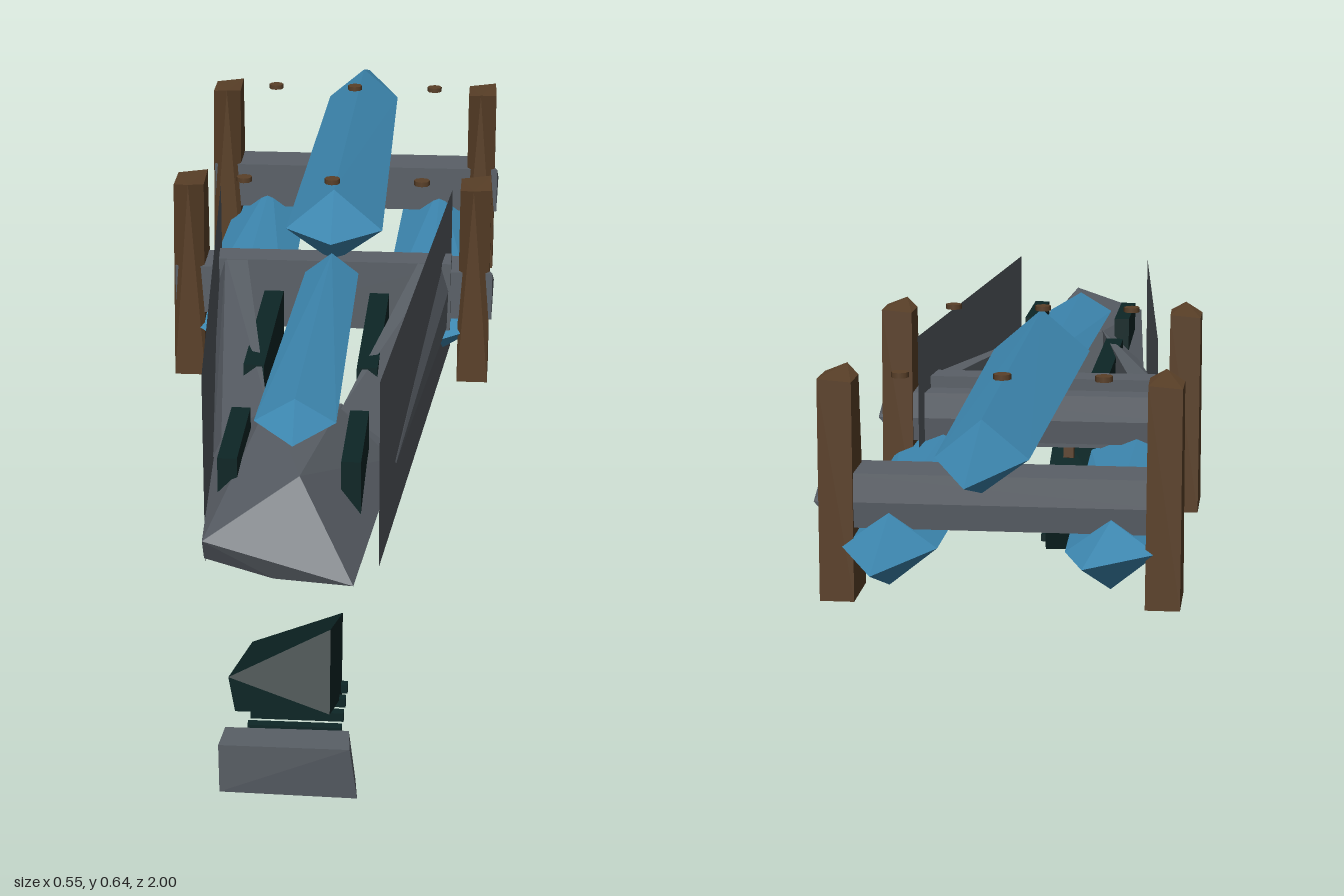
import * as THREE from 'three';
import { ConvexGeometry } from 'three/addons/geometries/ConvexGeometry.js';

const mat = (name, color) => {
  const m = new THREE.MeshStandardMaterial({ color });
  m.name = name;
  return m;
};

export function createModel() {
  const root = new THREE.Group();
  const blue = mat('crystal blue', 0x3f8bb5);
  const grey = mat('iron grey', 0x5a6067);
  const brown = mat('wood brown', 0x5a4028);
  const dark = mat('dark green', 0x0d2626);
  const plateGrey = mat('plate grey', 0x555a60);
  plateGrey.side = THREE.DoubleSide;

  const add = (name, geo, material, x = 0, y = 0, z = 0) => {
    const mesh = new THREE.Mesh(geo, material);
    mesh.name = name;
    mesh.position.set(x, y, z);
    root.add(mesh);
    return mesh;
  };
  // faceted solid around a few corner points
  const hull = (name, pts, material) =>
    add(name, new ConvexGeometry(pts.map((p) => new THREE.Vector3(...p))), material);
  const box = (name, x0, x1, y0, y1, z0, z1, material) =>
    add(name, new THREE.BoxGeometry(x1 - x0, y1 - y0, z1 - z0), material,
      (x0 + x1) / 2, (y0 + y1) / 2, (z0 + z1) / 2);

  // blades: diamond sections [centre x, centre y, z, half width, up, down] between two tips
  const blade = (name, tipA, sections, tipB) => {
    const pts = [tipA, tipB];
    for (const [x, y, z, w, up, down] of sections) {
      pts.push([x - w, y, z], [x + w, y, z], [x, y + up, z], [x, y - down, z]);
    }
    hull(name, pts, blue);
  };
  blade('upperBlade', [0, 0.565, -1],
    [[0, 0.562, -0.81, 0.067, 0.056, 0.05], [0, 0.56, 0, 0.082, 0.071, 0.058]], [0, 0.56, 0.08]);
  blade('frontBlade', [0, 0.5, -0.02],
    [[0, 0.5, 0.05, 0.045, 0.035, 0.03], [-0.005, 0.505, 0.7, 0.06, 0.036, 0.03]], [0, 0.51, 0.8]);
  blade('rightLowerBlade', [-0.135, 0.385, -0.745],
    [[-0.17, 0.385, -0.65, 0.068, 0.05, 0.055], [-0.168, 0.387, 0, 0.082, 0.035, 0.052]], [-0.2, 0.388, 0.07]);
  blade('leftLowerBlade', [0.162, 0.385, -0.81],
    [[0.16, 0.385, -0.65, 0.072, 0.052, 0.058], [0.162, 0.387, 0, 0.085, 0.035, 0.052]], [0.185, 0.388, 0.06]);

  // body: front wedge, two rails and a cross bar
  hull('frontWedge', [
    [-0.105, 0.455, 1], [0.1, 0.395, 1], [-0.01, 0.395, 0.985], [0.02, 0.515, 0.91],
    [-0.105, 0.42, 0.98], [-0.138, 0.4, 0.58], [0.138, 0.4, 0.58],
    [-0.055, 0.485, 0.58], [0.055, 0.485, 0.58],
  ], grey);
  for (const s of [-1, 1]) {
    const side = s < 0 ? 'right' : 'left';
    hull(side + 'Rail', [
      [s * 0.198, 0.4, 0], [s * 0.2, 0.47, 0], [s * 0.185, 0.515, 0.01], [s * 0.145, 0.515, 0.03],
      [s * 0.145, 0.4, 0.03], [s * 0.138, 0.4, 0.6], [s * 0.125, 0.43, 0.6],
      [s * 0.055, 0.485, 0.6], [s * 0.055, 0.4, 0.6],
    ], grey);

    // thin side plate, narrowing towards the front
    const plate = new THREE.BufferGeometry();
    const cx = s < 0 ? [-0.131, -0.205] : [0.122, 0.197];
    plate.setAttribute('position', new THREE.Float32BufferAttribute([
      cx[0], 0.31, 0.77, cx[1], 0.31, -0.11, cx[1], 0.6, -0.11, cx[0], 0.6, 0.77], 3));
    plate.setIndex(s > 0 ? [0, 1, 2, 0, 2, 3] : [2, 1, 0, 3, 2, 0]);
    plate.computeVertexNormals();
    add(side + 'SidePlate', plate, plateGrey);

    // dark inlay strips
    const x = s < 0 ? -0.09 : 0.085;
    box(side + 'RearInlay', x - 0.016, x + 0.016, 0.42, 0.495, 0.13, 0.46, dark);
    box(side + 'FrontInlay', x - 0.014, x + 0.014, 0.42, 0.5, 0.64, 0.825, dark);
  }
  box('bodyCrossBar', -0.2, 0.2, 0.395, 0.515, -0.02, 0.035, grey);

  for (const z of [-0.6, -0.02]) {
    const end = z < -0.3 ? 'rear' : 'front';
    // cross beam with pointed ends that break through the posts
    const beam = [];
    for (const s of [-1, 1]) {
      for (const y of [0.412, 0.495]) {
        beam.push([s * 0.24, y, z + 0.035], [s * 0.24, y, z - 0.045], [s * 0.27, y, z + 0.04]);
      }
      beam.push([s * 0.272, 0.452, z - 0.05]);
    }
    hull(end + 'Beam', beam, grey);

    // roughly hewn posts with uneven tops
    for (const s of [-1, 1]) {
      const x = s < 0 ? -0.247 : 0.239;
      hull(end + (s < 0 ? 'Right' : 'Left') + 'Post', [
        [x - 0.026, 0.3, z + 0.05], [x + 0.026, 0.3, z + 0.05],
        [x - 0.026, 0.3, z - 0.055], [x + 0.026, 0.3, z - 0.055],
        [x - 0.003 * s, 0.643, z + 0.05], [x - 0.026, 0.632, z + 0.015],
        [x + 0.026, 0.635, z + 0.02], [x - 0.026, 0.633, z - 0.05], [x + 0.024, 0.638, z - 0.055],
      ], brown);
    }
    // peg heads
    for (const x of [-0.155, -0.005, 0.147]) {
      add(end + 'Peg', new THREE.CylinderGeometry(0.0135, 0.0135, 0.008, 8).toNonIndexed(), brown,
        x, 0.638, z - 0.007);
    }
  }

  // five-sided trigger ring and trigger
  const ringGeo = new THREE.TorusGeometry(0.092, 0.019, 4, 5).rotateX(Math.PI / 2).toNonIndexed();
  ringGeo.computeVertexNormals();
  add('triggerRing', ringGeo, grey, 0, 0.309, 0.565);
  hull('trigger', [
    [-0.015, 0.335, 0.485], [0.007, 0.342, 0.485], [-0.013, 0.34, 0.465], [0.007, 0.34, 0.465],
    [-0.013, 0.258, 0.475], [0.007, 0.26, 0.475], [-0.013, 0.262, 0.46], [0.007, 0.262, 0.46],
  ], brown);

  // tilted magazine
  hull('magazine', [
    [-0.085, 0.19, 0.895], [-0.076, 0.135, 0.895], [0.06, 0.135, 0.895], [0.058, 0.248, 0.85],
    [-0.08, 0.1, 0.62], [0.058, 0.145, 0.6], [-0.075, 0.03, 0.65], [0.06, 0.027, 0.65],
  ], dark);

  // row of small rods and the block in front of them
  for (let i = 0; i < 5; i++) {
    box('rod', -0.07, 0.07, 0.042, 0.056, 0.653 + i * 0.043, 0.667 + i * 0.043, dark);
  }
  hull('foreBlock', [
    [-0.099, 0.01, 0.91], [0.1, 0.001, 0.9], [0.09, 0.09, 0.915], [-0.099, 0.09, 0.915],
    [-0.095, 0.02, 0.865], [0.095, 0.008, 0.86], [0.085, 0.088, 0.858], [-0.095, 0.088, 0.86],
  ], grey);

  return root;
}
